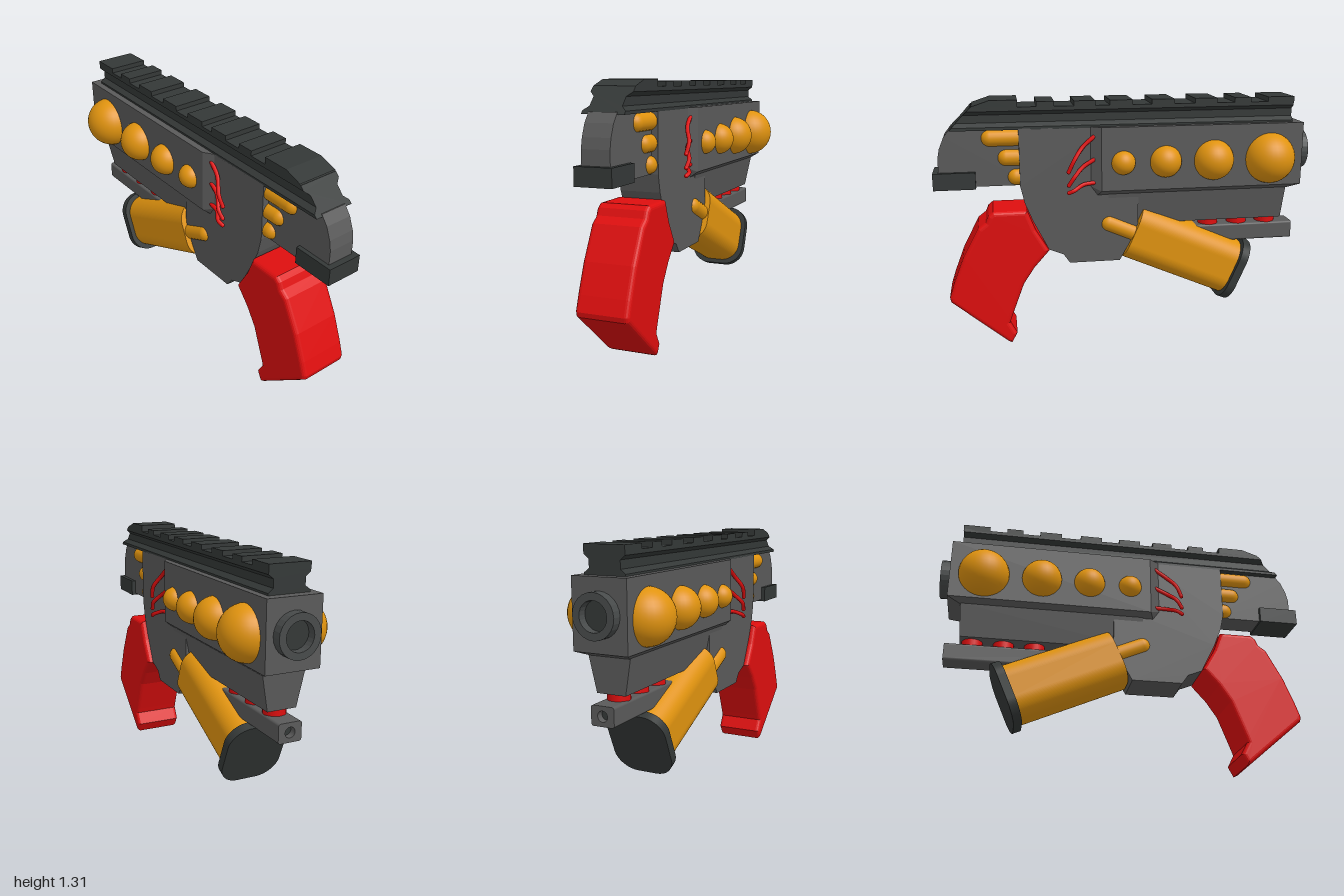
import * as THREE from 'three';
import { ConvexGeometry } from 'three/addons/geometries/ConvexGeometry.js';

const mat = (color, flatShading = false) => new THREE.MeshStandardMaterial({ color, flatShading });
const GREY = mat(0x5a5a5a, true), DARK = mat(0x343837, true);
const RED = mat(0xdd0e0e), GOLD = mat(0xe0930f);

const shapeOf = (pts) => new THREE.Shape(pts.map(([x, y]) => new THREE.Vector2(x, y)));

// Side outline (x, y) given a thickness of 2 * halfZ, with an optional rounded edge
function slab(pts, halfZ, bevel = 0) {
  const g = new THREE.ExtrudeGeometry(shapeOf(pts), {
    depth: 2 * (halfZ - bevel), bevelEnabled: bevel > 0,
    bevelSize: bevel, bevelOffset: -bevel, bevelThickness: bevel, bevelSegments: 4,
  });
  return g.translate(0, 0, -halfZ + bevel);
}

// Cross-section (z, y) swept along x
function sweepX(shape, x0, x1) {
  return new THREE.ExtrudeGeometry(shape, { depth: x1 - x0, bevelEnabled: false, curveSegments: 12 })
    .rotateY(Math.PI / 2).translate(x0, 0, 0);
}

// Solid hull of points mirrored to both sides
function hull(pts) {
  return new ConvexGeometry(pts.flatMap(([x, y, z]) =>
    [new THREE.Vector3(x, y, z), new THREE.Vector3(x, y, -z)]));
}

function roundedRect(w, h, r) {
  const s = new THREE.Shape();
  s.moveTo(w, -h + r).lineTo(w, h - r);
  s.absarc(w - r, h - r, r, 0, Math.PI / 2);
  s.absarc(-w + r, h - r, r, Math.PI / 2, Math.PI);
  s.absarc(-w + r, -h + r, r, Math.PI, Math.PI * 1.5);
  s.absarc(w - r, -h + r, r, Math.PI * 1.5, Math.PI * 2);
  return s;
}

// Round-ended rod lying along x
function rod(x0, x1, r) {
  return new THREE.CapsuleGeometry(r, x1 - x0 - 2 * r, 8, 20)
    .rotateZ(Math.PI / 2).translate((x0 + x1) / 2, 0, 0);
}

export function createModel() {
  const model = new THREE.Group();
  const add = (name, geo, material, x = 0, y = 0, z = 0, parent = model) => {
    const m = new THREE.Mesh(geo, material);
    m.name = name;
    m.position.set(x, y, z);
    parent.add(m);
    return m;
  };
  const box = (name, x0, x1, y0, y1, halfZ, material) =>
    add(name, new THREE.BoxGeometry(x1 - x0, y1 - y0, 2 * halfZ), material, (x0 + x1) / 2, (y0 + y1) / 2, 0);

  // Frame, upper housing and tapered lower housing
  add('frame', slab([[0.04, 0.44], [0.31, 0.44], [0.345, 0.49], [0.42, 0.52], [0.5, 0.68], [0.54, 0.78],
    [0.56, 0.87], [0.56, 1.17], [0.1, 1.17], [0.1, 0.82], [-0.06, 0.8], [-0.06, 0.62]], 0.105), GREY);
  add('upperHousing', hull([
    [-0.95, 1.17, 0.14], [-0.95, 0.835, 0.14], [-0.87, 0.805, 0.1],
    [0.14, 1.17, 0.14], [0.14, 0.835, 0.14], [0.16, 0.805, 0.1],
    [0.2, 1.17, 0.1], [0.2, 0.86, 0.1],
  ]), GREY);
  add('lowerHousing', hull([
    [-0.88, 0.815, 0.11], [-0.87, 0.635, 0.075], [0.1, 0.815, 0.11], [0.1, 0.635, 0.075],
  ]), GREY);

  // Hollow muzzle ring
  const ring = new THREE.Shape().absarc(0, 0, 0.105, 0, Math.PI * 2);
  ring.holes.push(new THREE.Path().absarc(0, 0, 0.07, 0, Math.PI * 2, true));
  add('muzzleRing', sweepX(ring, -1, -0.94), mat(0x484b4b), 0, 1.005, 0);
  add('muzzleBore', new THREE.CircleGeometry(0.075, 24).rotateY(-Math.PI / 2), DARK, -0.955, 1.005, 0);

  // Top rail, its rear end cut to a slope
  const railSide = [[0.105, 1.165], [0.105, 1.18], [0.08, 1.2], [0.08, 1.24], [0.105, 1.26], [0.105, 1.28]];
  const rail = sweepX(shapeOf([...railSide, ...railSide.map(([z, y]) => [-z, y]).reverse()]), -0.9, 0.9);
  const p = rail.attributes.position;
  for (let i = 0; i < p.count; i++) if (p.getX(i) > 0) p.setX(i, 0.905 - (p.getY(i) - 1.165) * 0.95);
  rail.computeVertexNormals();
  add('rail', rail, DARK);
  for (const [x, w] of [[-0.83, 0.145], [-0.62, 0.09], [-0.42, 0.12], [-0.19, 0.12], [0.03, 0.12], [0.22, 0.11], [0.42, 0.09]])
    box('railTooth', x - w / 2, x + w / 2, 1.27, 1.305, 0.105, DARK);
  add('railRearCover', slab([[0.56, 1.27], [0.8, 1.27], [0.79, 1.285], [0.7, 1.315], [0.56, 1.315]], 0.105), DARK);

  // Rear frame and hammer block
  add('rearFrame', slab([[0.5, 0.87], [0.97, 0.87], [0.97, 1.02], [0.96, 1.07], [0.935, 1.13], [0.9, 1.175], [0.5, 1.175]], 0.07), GREY);
  box('hammerBlock', 0.785, 1, 0.86, 0.948, 0.092, DARK);

  // Under-barrel bar with a bored front end and red spacers
  const barShape = roundedRect(0.06, 0.048, 0.012);
  barShape.holes.push(new THREE.Path().absarc(0, 0, 0.026, 0, Math.PI * 2, true));
  add('underBar', sweepX(barShape, -0.945, 0.05), GREY, 0, 0.553, 0);
  add('barBore', new THREE.CircleGeometry(0.03, 16).rotateY(-Math.PI / 2), DARK, -0.91, 0.553, 0);
  for (const x of [-0.805, -0.64, -0.475])
    add('redSpacer', new THREE.CylinderGeometry(0.055, 0.055, 0.07, 24), RED, x, 0.617, 0);

  // Tilted canister with an end cap and side rods
  const canister = new THREE.Group();
  canister.name = 'canister';
  canister.position.set(-0.595, 0.345, 0);
  canister.rotation.z = 0.412;
  model.add(canister);
  add('canisterBody', sweepX(roundedRect(0.135, 0.155, 0.1), 0, 0.61), GOLD, 0, 0, 0, canister);
  add('canisterCap', sweepX(roundedRect(0.16, 0.178, 0.11), -0.04, 0.005), DARK, 0, 0, 0, canister);

  // Grip with rounded edges
  add('grip', slab([[0.53, 0.745], [0.705, 0.745], [0.73, 0.725], [0.745, 0.69], [0.785, 0.66], [0.87, 0.5],
    [0.925, 0.36], [0.95, 0.285], [0.945, 0.26], [0.655, 0.015], [0.635, 0.005], [0.605, 0.06], [0.64, 0.125],
    [0.63, 0.155], [0.56, 0.34], [0.5, 0.43], [0.42, 0.52], [0.49, 0.64]], 0.135, 0.022), RED);

  // Parts repeated on both sides
  for (const s of [1, -1]) {
    for (const [x, r] of [[-0.77, 0.136], [-0.46, 0.108], [-0.2, 0.085], [0.025, 0.064]])
      add('sideSphere', new THREE.SphereGeometry(r, 32, 20), GOLD, x, 0.983, s * 0.13);

    for (const [y, end] of [[1.12, 0.75], [1.017, 0.67], [0.915, 0.622]])
      add('rearRod', rod(0.48, end, 0.044), GOLD, 0, y, s * 0.057);

    add('canisterRod', rod(0.5, 0.8, 0.045), GOLD, 0, 0, s * 0.085, canister);

    for (const [y0, y1, y2] of [[1.12, 1.07, 0.945], [1.0, 0.965, 0.875], [0.877, 0.87, 0.835]]) {
      const curve = new THREE.CatmullRomCurve3([
        new THREE.Vector3(0.175, y0, s * 0.11), new THREE.Vector3(0.235, y1, s * 0.12),
        new THREE.Vector3(0.285, (y1 + y2) / 2 - 0.005, s * 0.15), new THREE.Vector3(0.312, y2, s * 0.145),
      ]);
      add('wire', new THREE.TubeGeometry(curve, 24, 0.011, 8), RED);
      for (const t of [0, 1]) {
        const e = curve.getPoint(t);
        add('wireEnd', new THREE.SphereGeometry(0.011, 10, 8), RED, e.x, e.y, e.z);
      }
    }
  }
  return model;
}
